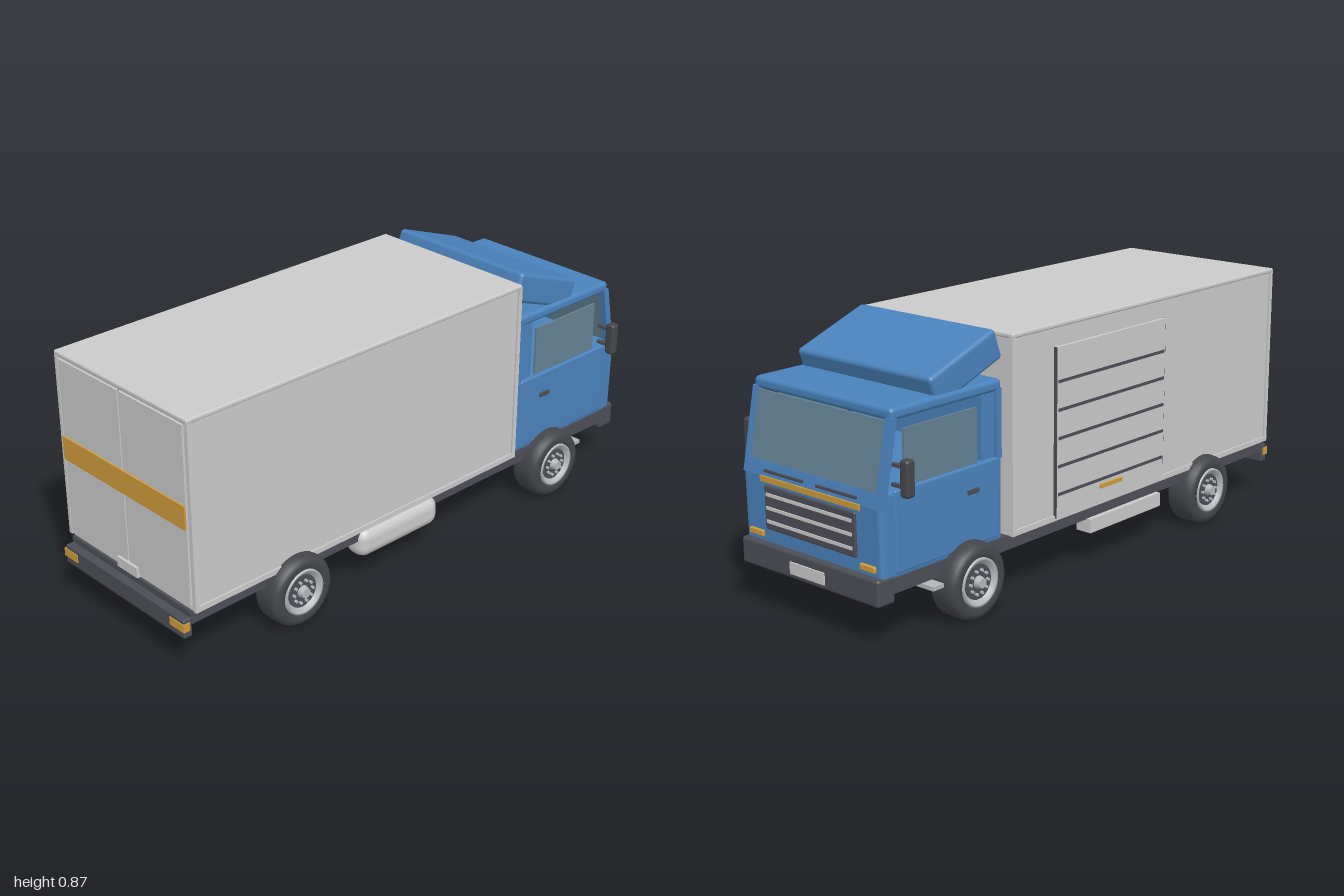
import * as THREE from 'three';
import { RoundedBoxGeometry } from 'three/addons/geometries/RoundedBoxGeometry.js';

const mat = (name, color) => Object.assign(new THREE.MeshStandardMaterial({ color }), { name });

export function createModel() {
  const blue = mat('cab blue', 0x4a82bc), grey = mat('light grey', 0xcacaca);
  const dark = mat('dark grey', 0x4c4e57), rubber = mat('tyre rubber', 0x44464b);
  const glass = mat('window glass', 0x648192), amber = mat('amber', 0xcf9c3c);
  const steel = mat('rim steel', 0xb4b6ba);
  const truck = new THREE.Group();
  truck.name = 'boxTruck';

  const add = (name, geo, m, parent = truck) => {
    const mesh = new THREE.Mesh(geo, m);
    mesh.name = name;
    parent.add(mesh);
    return mesh;
  };
  // box given by its limits on each axis, optionally with rounded edges
  const box = (name, m, x0, x1, y0, y1, z0, z1, r = 0) => {
    const s = [x1 - x0, y1 - y0, z1 - z0];
    const geo = r ? new RoundedBoxGeometry(...s, 3, r) : new THREE.BoxGeometry(...s);
    geo.translate((x0 + x1) / 2, (y0 + y1) / 2, (z0 + z1) / 2);
    return add(name, geo, m);
  };
  // the same box on both sides, z0 < z1 measured outwards
  const pair = (name, m, x0, x1, y0, y1, z0, z1, r = 0) => {
    box(name + 'Left', m, x0, x1, y0, y1, z0, z1, r);
    box(name + 'Right', m, x0, x1, y0, y1, -z1, -z0, r);
  };
  // side profile extruded across the width
  const prism = (name, m, pts, z0, z1, bevel = 0) => {
    const shape = new THREE.Shape(pts.map(p => new THREE.Vector2(...p)));
    const geo = new THREE.ExtrudeGeometry(shape, {
      depth: z1 - z0 - 2 * bevel, bevelEnabled: bevel > 0, bevelSize: bevel,
      bevelOffset: -bevel, bevelThickness: bevel, bevelSegments: 3,
    });
    geo.translate(0, 0, z0 + bevel);
    return add(name, geo, m);
  };

  // chassis and bumpers
  box('chassis', dark, -0.97, 0.95, 0.165, 0.212, -0.298, 0.298);
  box('frontBumper', dark, 0.925, 0.995, 0.137, 0.222, -0.3, 0.3, 0.01);
  box('numberPlate', grey, 0.994, 1.0, 0.155, 0.193, -0.075, 0.075);
  box('rearBumper', dark, -0.997, -0.965, 0.125, 0.19, -0.3, 0.3, 0.005);
  pair('rearLamp', amber, -1.0, -0.975, 0.15, 0.178, 0.235, 0.303);

  // cargo box with rails and corner posts
  box('cargoBox', grey, -0.96, 0.435, 0.212, 0.848, -0.315, 0.315);
  box('cargoRoof', grey, -0.966, 0.438, 0.838, 0.854, -0.322, 0.322, 0.006);
  pair('lowerRail', grey, -0.964, 0.438, 0.212, 0.23, 0.31, 0.321);
  for (const [i, x] of [-0.964, 0.422].entries())
    pair('cornerPost' + i, grey, x, x + 0.016, 0.212, 0.845, 0.308, 0.321);

  // rear doors
  pair('rearDoor', grey, -0.967, -0.955, 0.225, 0.832, 0.003, 0.3);
  box('rearDoorSeam', dark, -0.962, -0.955, 0.225, 0.832, -0.003, 0.003);
  box('rearStripe', amber, -0.973, -0.966, 0.49, 0.57, -0.3, 0.3);
  box('rearLatch', grey, -0.976, -0.96, 0.215, 0.25, -0.05, 0.05);

  // roller door on the right side
  box('rollerDoor', grey, -0.32, 0.235, 0.222, 0.778, -0.327, -0.31);
  for (let i = 0; i < 5; i++) {
    const y = 0.3 + i * 0.092;
    box('rollerGroove' + i, dark, -0.315, 0.23, y - 0.005, y + 0.005, -0.329, -0.326);
  }
  for (const [i, x] of [-0.322, 0.235].entries())
    box('rollerEdge' + i, dark, x, x + 0.003, 0.222, 0.778, -0.326, -0.31);
  box('rollerHandle', amber, -0.09, 0.02, 0.27, 0.284, -0.334, -0.326);

  // fuel tank and tool locker
  box('fuelTank', grey, -0.29, 0.07, 0.098, 0.205, 0.225, 0.322, 0.04);
  box('toolLocker', grey, -0.325, 0.05, 0.12, 0.167, -0.315, -0.255);

  // lower cab
  prism('cabLower', blue, [[0.46, 0.207], [0.974, 0.207], [0.978, 0.43], [0.968, 0.475], [0.46, 0.475]],
    -0.297, 0.297, 0.012);
  pair('cabDoor', blue, 0.478, 0.92, 0.222, 0.476, 0.285, 0.301, 0.007);
  pair('doorHandle', dark, 0.575, 0.62, 0.39, 0.404, 0.3, 0.309);
  pair('step', steel, 0.745, 0.79, 0.137, 0.15, 0.25, 0.32);

  // upper cab: rear wall, pillars, roof
  box('cabRearWall', blue, 0.46, 0.474, 0.46, 0.69, -0.29, 0.29);
  pair('rearPost', blue, 0.46, 0.482, 0.47, 0.69, 0.27, 0.296);
  pair('doorPillar', blue, 0.48, 0.54, 0.47, 0.69, 0.27, 0.285);
  box('cabRoof', blue, 0.457, 0.924, 0.68, 0.718, -0.296, 0.296, 0.014);
  const pillar = [[0.952, 0.43], [0.978, 0.43], [0.926, 0.69], [0.902, 0.69]];
  prism('frontPillarLeft', blue, pillar, 0.274, 0.297);
  prism('frontPillarRight', blue, pillar, -0.297, -0.274);

  // glass
  prism('windscreen', glass, [[0.967, 0.43], [0.975, 0.43], [0.925, 0.68], [0.917, 0.68]], -0.275, 0.275);
  pair('sideWindow', glass, 0.56, 0.867, 0.47, 0.648, 0.28, 0.287);
  for (const s of [-1, 1])
    box('wiper', dark, 0.968, 0.98, 0.444, 0.452, s * 0.115 - 0.086, s * 0.115 + 0.086);

  // roof wind deflector on two short stays
  const deflector = add('windDeflector', new RoundedBoxGeometry(0.3, 0.102, 0.575, 3, 0.014), blue);
  deflector.position.set(0.6, 0.774, 0);
  deflector.rotation.z = -0.35;
  pair('deflectorStay', blue, 0.53, 0.56, 0.71, 0.77, 0.2, 0.22);

  // cab front: grille, stripe, lamps
  box('grille', dark, 0.965, 0.984, 0.265, 0.405, -0.198, 0.198, 0.006);
  for (let i = 0; i < 3; i++) {
    const y = 0.293 + i * 0.0425;
    box('grilleBar' + i, grey, 0.982, 0.988, y - 0.005, y + 0.005, -0.186, 0.186);
  }
  box('frontStripe', amber, 0.97, 0.983, 0.414, 0.432, -0.216, 0.216);
  pair('headlamp', amber, 0.968, 0.984, 0.235, 0.255, 0.212, 0.275, 0.004);

  // mirrors
  pair('mirror', rubber, 0.89, 0.925, 0.462, 0.576, 0.322, 0.357, 0.01);
  for (const y of [0.49, 0.55]) pair('mirrorArm', dark, 0.9, 0.914, y - 0.005, y + 0.005, 0.28, 0.33);

  // wheels, modelled with the outside towards +z
  const lathe = pts => new THREE.LatheGeometry(pts.map(p => new THREE.Vector2(...p)), 40).rotateX(Math.PI / 2);
  const tyre = lathe([[0, 0], [0.1, 0], [0.114, 0.004], [0.12, 0.014], [0.122, 0.03], [0.122, 0.07],
    [0.12, 0.086], [0.113, 0.097], [0.1, 0.103], [0.082, 0.103], [0.077, 0.096], [0.077, 0.085], [0, 0.085]]);
  const rim = lathe([[0.078, 0.09], [0.077, 0.104], [0.07, 0.104], [0.058, 0.092], [0.054, 0.087]]);
  const disc = new THREE.CylinderGeometry(0.056, 0.056, 0.008, 32).rotateX(Math.PI / 2).translate(0, 0, 0.089);
  const hub = new THREE.CylinderGeometry(0.016, 0.022, 0.024, 20).rotateX(Math.PI / 2).translate(0, 0, 0.1);
  const nut = new THREE.CylinderGeometry(0.005, 0.005, 0.012, 8).rotateX(Math.PI / 2);
  rubber.side = steel.side = THREE.DoubleSide;
  for (const x of [-0.567, 0.622]) for (const s of [1, -1]) {
    const wheel = new THREE.Group();
    wheel.name = (x > 0 ? 'front' : 'rear') + 'Wheel' + (s > 0 ? 'Left' : 'Right');
    add('tyre', tyre, rubber, wheel);
    add('rim', rim, steel, wheel);
    add('wheelDisc', disc, dark, wheel);
    add('hub', hub, steel, wheel);
    for (let i = 0; i < 10; i++) {
      const a = i * Math.PI / 5;
      add('wheelNut', nut, steel, wheel).position.set(0.038 * Math.cos(a), 0.038 * Math.sin(a), 0.096);
    }
    wheel.position.set(x, 0.125, s * 0.252);
    if (s < 0) wheel.rotation.y = Math.PI;
    truck.add(wheel);
  }
  truck.position.y = -0.003;
  return truck;
}
